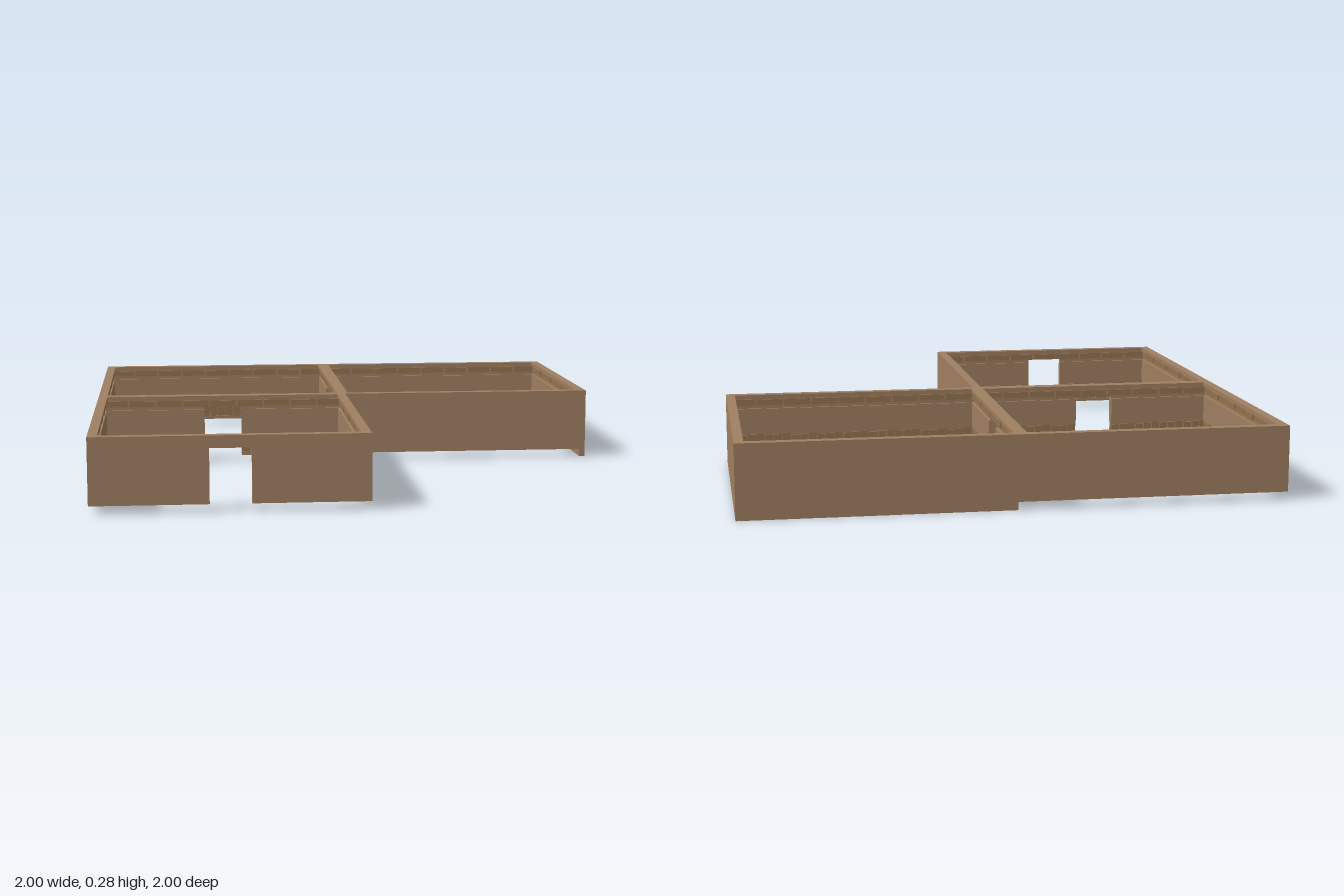
import * as THREE from 'three';
import { mergeGeometries } from 'three/addons/utils/BufferGeometryUtils.js';

const TOP = 0.275, FLOOR = 0.03, CORE = 0.023, TRIM = 0.012;
const DOOR_HALF = 0.075, DOOR_TOP = 0.23, HALF = 0.49;

const wallMat = new THREE.MeshStandardMaterial({ color: 0xa08062 });
const woodMat = new THREE.MeshStandardMaterial({ color: 0x94734f });

function mesh(name, geometry, material) {
  const m = new THREE.Mesh(geometry, material);
  m.name = name;
  return m;
}

// Box given by its x and y limits, standing out from a wall face by depth
function trimBox(x0, x1, y0, y1, face, sign, depth) {
  return new THREE.BoxGeometry(x1 - x0, y1 - y0, depth)
    .translate((x0 + x1) / 2, (y0 + y1) / 2, face + sign * depth / 2);
}

// Wall body, with an optional doorway open at the bottom
function coreGeometry(base, door) {
  const s = new THREE.Shape();
  s.moveTo(-0.5, base);
  if (door) {
    s.lineTo(-DOOR_HALF, base);
    s.lineTo(-DOOR_HALF, DOOR_TOP);
    s.lineTo(DOOR_HALF, DOOR_TOP);
    s.lineTo(DOOR_HALF, base);
  }
  s.lineTo(0.5, base);
  s.lineTo(0.5, TOP);
  s.lineTo(-0.5, TOP);
  s.closePath();
  return new THREE.ExtrudeGeometry(s, { depth: CORE, bevelEnabled: false }).translate(0, 0, -CORE);
}

// Cladding on one face: skirting, planks, rail, brick course and cap
function cladding(face, sign, door) {
  const g = new THREE.Group();
  g.name = 'cladding';
  const spans = door ? [[-HALF, -DOOR_HALF], [DOOR_HALF, HALF]] : [[-HALF, HALF]];
  const box = (x0, x1, y0, y1, d) => trimBox(x0, x1, y0, y1, face, sign, d);
  const skirting = [], planks = [], panels = [], bricks = [];

  for (const [a, b] of spans) {
    skirting.push(box(a, b, FLOOR, 0.043, TRIM));
    panels.push(box(a, b, 0.115, 0.218, 0.008));
    const count = Math.round((b - a) / 0.035);
    const step = (b - a) / count;
    for (let i = 0; i < count; i++) {
      const x = a + i * step;
      planks.push(box(x + 0.002, x + step - 0.002, 0.043, 0.115 - 0.003 * (i % 3), 0.004 + 0.002 * (i * 5 % 3)));
    }
  }
  const count = 9, step = 2 * HALF / count;
  for (let i = 0; i < count; i++) {
    const x = -HALF + i * step;
    bricks.push(box(x + 0.004, x + step - 0.004, 0.231, 0.255, 0.005 + 0.002 * (i % 2)));
  }
  g.add(
    mesh('skirting', mergeGeometries(skirting), wallMat),
    mesh('planks', mergeGeometries(planks), woodMat),
    mesh('smoothPanel', mergeGeometries(panels), wallMat),
    mesh('brickCourse', mergeGeometries(bricks), woodMat),
    mesh('topCap', box(-HALF, HALF, 0.262, TOP, TRIM), wallMat)
  );
  return g;
}

// Unit-long wall: outer face on local z = 0, room on its -z side
function wall(name, x, z, turn, { door = false, both = false, base = FLOOR } = {}) {
  const g = new THREE.Group();
  g.name = name;
  g.add(mesh('wallBody', coreGeometry(base, door), wallMat), cladding(-CORE, -1, door));
  if (both) g.add(cladding(0, 1, door));
  g.position.set(x, 0, z);
  g.rotation.y = turn * Math.PI / 2;
  return g;
}

export function createModel() {
  const model = new THREE.Group();
  model.name = 'threeRooms';
  model.add(
    // Front room
    wall('frontRoomFrontWall', -0.5, 1, 0, { door: true }),
    wall('frontRoomRightWall', -1, 0.5, -1),
    wall('frontRoomLeftWall', 0, 0.5, 1),
    // Corner room with doorways to both neighbours
    wall('frontDivider', -0.5, 0, 0, { door: true, both: true }),
    wall('sideDivider', 0, -0.5, 1, { door: true, both: true }),
    wall('cornerRoomRightWall', -1, -0.5, -1),
    wall('cornerRoomBackWall', -0.5, -1, 2),
    // Side room, two walls reaching lower
    wall('sideRoomFrontWall', 0.5, 0, 0),
    wall('sideRoomLeftWall', 1, -0.5, 1, { base: 0 }),
    wall('sideRoomBackWall', 0.5, -1, 2, { base: 0 })
  );
  return model;
}
